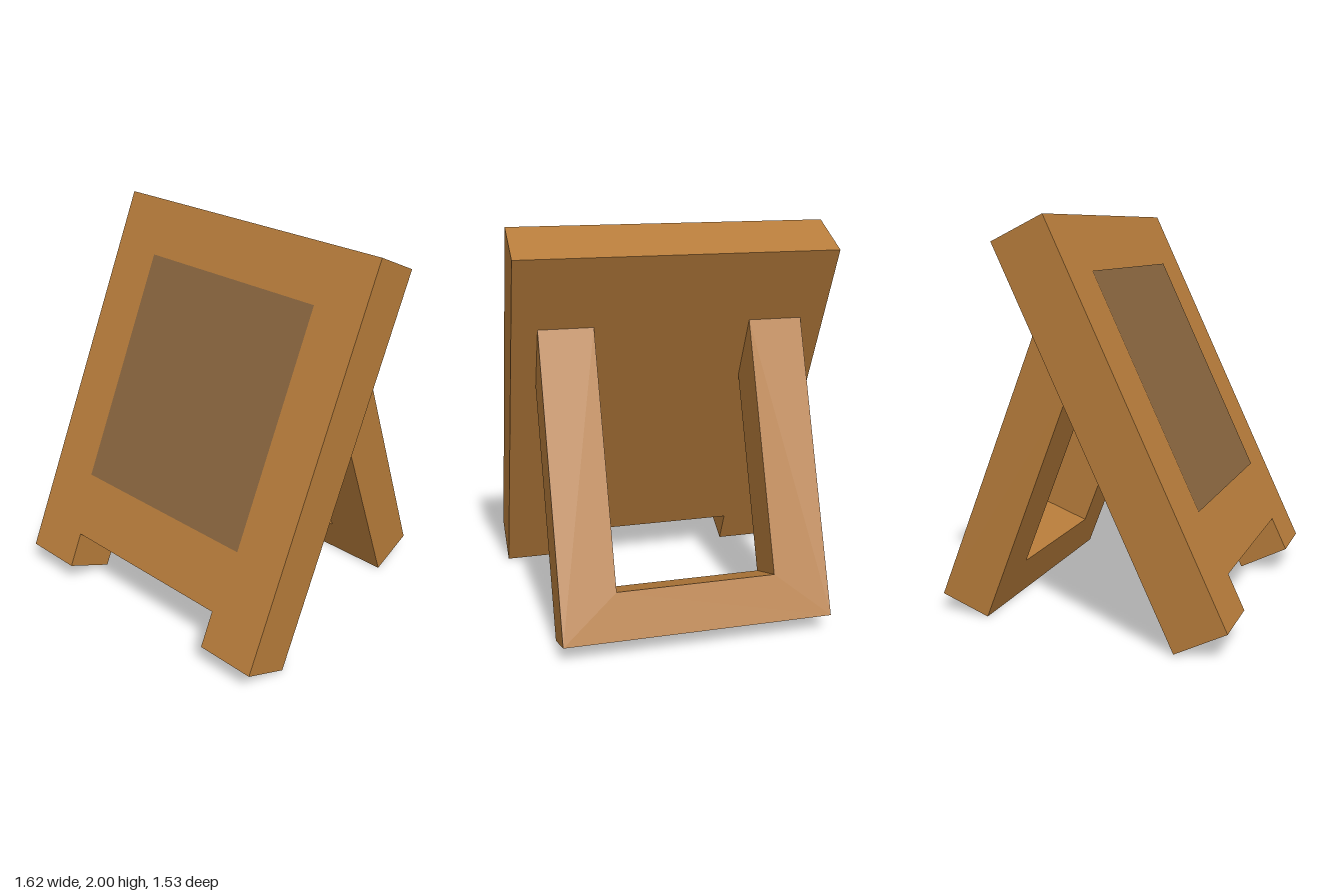
import * as THREE from 'three';

const wood = new THREE.MeshStandardMaterial({ color: 0xb57b3a });
const slate = new THREE.MeshStandardMaterial({ color: 0x87643e });

// Leaning slab: the outline's y is the distance up from the bottom edge, and y = 1 is the
// top edge. Corners are [z, y] pairs in side profile.
function slab(name, outline, { front, back }, material) {
  const shape = new THREE.Shape(outline.map(([x, y]) => new THREE.Vector2(x, y)));
  const geo = new THREE.ExtrudeGeometry(shape, { depth: 1, bevelEnabled: false });
  const pos = geo.attributes.position;
  for (let i = 0; i < pos.count; i++) {
    const [low, high] = pos.getZ(i) > 0.5 ? front : back;
    const length = Math.hypot(high[0] - low[0], high[1] - low[1]);
    const t = pos.getY(i) === 1 ? 1 : pos.getY(i) / length;
    pos.setXYZ(i, pos.getX(i), low[1] + (high[1] - low[1]) * t, low[0] + (high[0] - low[0]) * t);
  }
  geo.computeVertexNormals();
  const mesh = new THREE.Mesh(geo, material);
  mesh.name = name;
  return mesh;
}

export function createModel() {
  const group = new THREE.Group();
  group.name = 'easelSign';

  // Leaning board with a notch between its two feet
  const W = 0.808, N = 0.494, notch = 0.19;
  const front = [[0.765, 0.138], [-0.12, 2]];
  group.add(slab('board',
    [[-W, 0], [-N, 0], [-N, notch], [N, notch], [N, 0], [W, 0], [W, 1], [-W, 1]],
    { front, back: [[0.51, 0.005], [-0.382, 1.875]] }, wood));

  // U-shaped rear prop, its top ends cut to meet the back of the board
  const P = 0.68, Q = 0.402, bar = 0.233;
  group.add(slab('rearProp',
    [[-P, 0], [P, 0], [P, 1], [Q, 1], [Q, bar], [-Q, bar], [-Q, 1], [-P, 1]],
    { front: [[-0.515, 0], [-0.055, 1.185]], back: [[-0.765, 0.092], [-0.207, 1.515]] }, wood));

  // Writing panel lying just proud of the board's front face
  const [low, high] = front;
  const lean = Math.atan2(low[0] - high[0], high[1] - low[1]);
  const y = 1.173;
  const z = low[0] - (y - low[1]) * Math.tan(lean);
  const panel = new THREE.Mesh(new THREE.PlaneGeometry(1.07, 1.125 / Math.cos(lean)), slate);
  panel.name = 'writingPanel';
  panel.rotation.x = -lean;
  panel.position.set(0, y, z);
  panel.translateZ(0.004);
  group.add(panel);

  return group;
}
